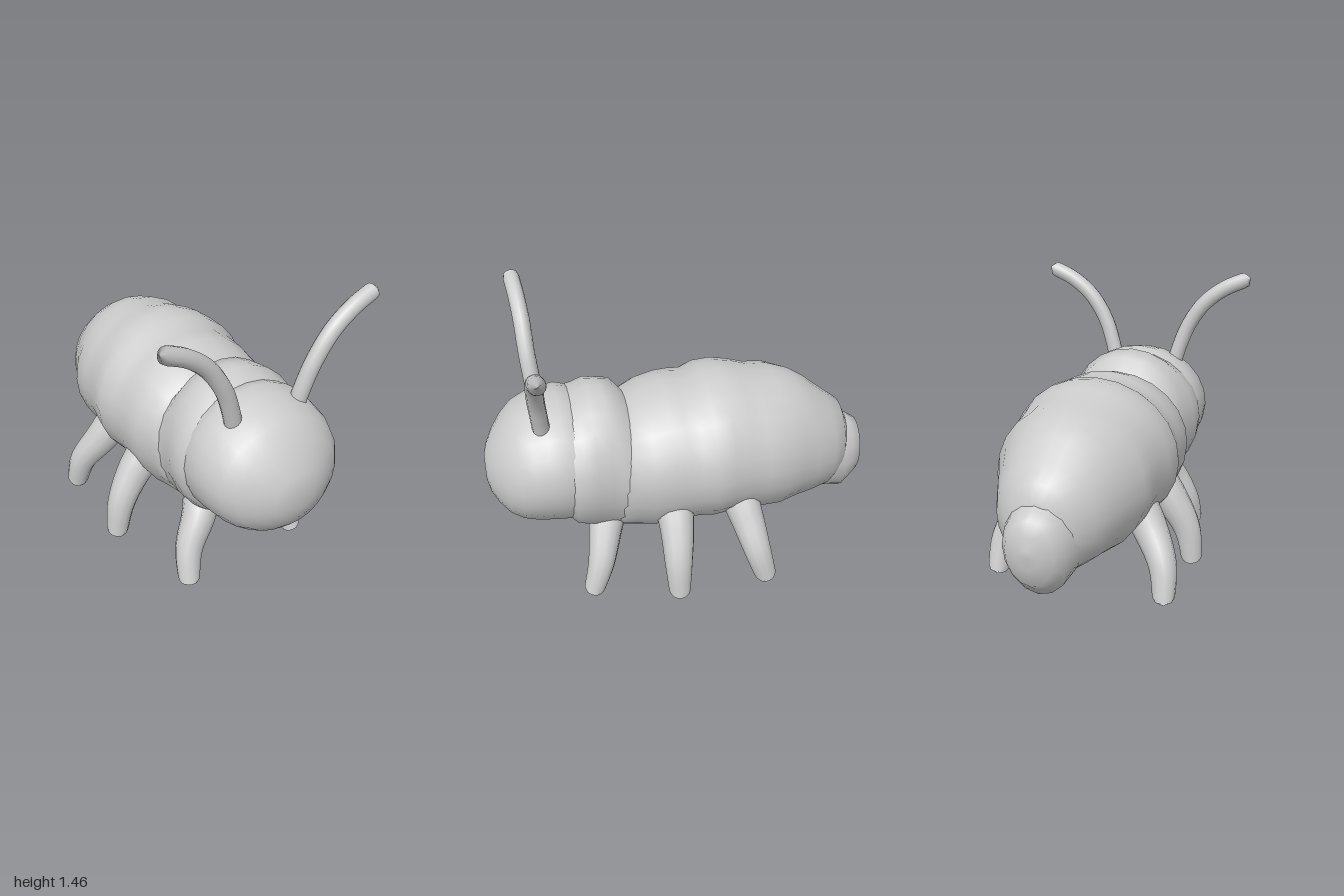
import * as THREE from 'three';

const grey = new THREE.MeshStandardMaterial({ color: 0xcccccc });
grey.name = 'plain grey';

function mesh(name, geometry) {
  const m = new THREE.Mesh(geometry, grey);
  m.name = name;
  return m;
}

// Closed loft along z; rings run front to back as [z, top, bottom, halfWidth, heightOfWidest]
function loft(rings, sides = 24) {
  const pos = [], index = [];
  for (const [z, top, bottom, w, mid = (top + bottom) / 2] of rings) {
    for (let i = 0; i < sides; i++) {
      const a = (i / sides) * Math.PI * 2, s = Math.sin(a);
      pos.push(w * Math.cos(a), mid + s * (s > 0 ? top - mid : mid - bottom), z);
    }
  }
  const first = pos.length / 3, last = first + 1, end = (rings.length - 1) * sides;
  for (const r of [rings[0], rings[rings.length - 1]]) pos.push(0, (r[1] + r[2]) / 2, r[0]);
  for (let i = 0; i < sides; i++) {
    const j = (i + 1) % sides;
    for (let k = 0; k < end; k += sides) {
      index.push(k + i, k + sides + i, k + j, k + j, k + sides + i, k + sides + j);
    }
    index.push(first, i, j, last, end + j, end + i);
  }
  const g = new THREE.BufferGeometry();
  g.setAttribute('position', new THREE.Float32BufferAttribute(pos, 3));
  g.setIndex(index);
  g.computeVertexNormals();
  return g;
}

// Tapered tube with a rounded tip
function limb(points, r0, r1) {
  const curve = new THREE.CatmullRomCurve3(points.map((p) => new THREE.Vector3(...p)));
  const segs = 30, sides = 12, round = r1 / curve.getLength();
  const g = new THREE.TubeGeometry(curve, segs, 1, sides);
  const p = g.attributes.position, v = new THREE.Vector3();
  for (let i = 0; i <= segs; i++) {
    const u = i / segs, c = curve.getPointAt(u);
    const t = Math.max(0, (u - 1 + round) / round);
    const r = THREE.MathUtils.lerp(r0, r1, u) * Math.sqrt(Math.max(0, 1 - t * t));
    for (let j = 0; j <= sides; j++) {
      const k = i * (sides + 1) + j;
      v.fromBufferAttribute(p, k).sub(c).multiplyScalar(r).add(c);
      p.setXYZ(k, v.x, v.y, v.z);
    }
  }
  return g;
}

export function createModel() {
  const model = new THREE.Group();
  model.name = 'insect';

  // Round head
  model.add(mesh('head', loft([
    [1.0, 0.73, 0.6, 0.07], [0.985, 0.78, 0.54, 0.13], [0.95, 0.85, 0.48, 0.2],
    [0.9, 0.92, 0.43, 0.275], [0.84, 0.98, 0.4, 0.325], [0.77, 1.015, 0.385, 0.352],
    [0.69, 1.035, 0.375, 0.362], [0.62, 1.05, 0.365, 0.362], [0.54, 1.03, 0.35, 0.35],
    [0.45, 0.95, 0.4, 0.3],
  ])));

  // Collar segment behind the head
  model.add(mesh('thorax', loft([
    [0.64, 1.0, 0.4, 0.33], [0.58, 1.03, 0.33, 0.365], [0.53, 1.04, 0.31, 0.37],
    [0.47, 1.07, 0.29, 0.365], [0.4, 1.065, 0.265, 0.345], [0.34, 1.055, 0.255, 0.34],
    [0.28, 0.975, 0.25, 0.34], [0.2, 0.92, 0.3, 0.3],
  ])));

  // Waist and long tapering abdomen
  model.add(mesh('abdomen', loft([
    [0.4, 0.9, 0.27, 0.31], [0.28, 0.975, 0.25, 0.36, 0.66], [0.2, 1.015, 0.25, 0.395, 0.66],
    [0.1, 1.045, 0.25, 0.4, 0.66], [0.03, 1.05, 0.265, 0.4, 0.66], [-0.04, 1.04, 0.28, 0.41, 0.67],
    [-0.11, 1.07, 0.285, 0.435, 0.67], [-0.2, 1.085, 0.285, 0.415, 0.67], [-0.29, 1.07, 0.28, 0.395, 0.67],
    [-0.38, 1.04, 0.275, 0.39, 0.66], [-0.48, 1.035, 0.275, 0.38, 0.65], [-0.59, 1.0, 0.29, 0.325, 0.63],
    [-0.67, 0.95, 0.3, 0.295, 0.61], [-0.78, 0.86, 0.32, 0.245], [-0.86, 0.8, 0.36, 0.17],
    [-0.9, 0.71, 0.42, 0.1],
  ])));

  // Blunt tail
  model.add(mesh('tail', loft([
    [-0.6, 0.75, 0.4, 0.2], [-0.78, 0.75, 0.29, 0.195], [-0.83, 0.74, 0.28, 0.185],
    [-0.88, 0.72, 0.265, 0.17], [-0.92, 0.7, 0.31, 0.155], [-0.97, 0.67, 0.35, 0.12],
    [-0.99, 0.6, 0.44, 0.06], [-1.0, 0.54, 0.5, 0.02],
  ], 16)));

  // Legs and antennae on both sides; the right front foot reaches further forward
  for (const [side, label, step] of [[1, 'left', 0], [-1, 'right', 1]]) {
    const add = (part, pts, r0, r1) =>
      model.add(mesh(label + part, limb(pts.map(([x, y, z]) => [side * x, y, z]), r0, r1)));
    const f = 0.08 * step, b = 0.03 * step;
    add('FrontLeg', [[0.15, 0.46, 0.4 + f / 2], [0.23, 0.34, 0.44 + f], [0.31, 0.19, 0.48 + f], [0.345, 0.01, 0.54 + f]], 0.1, 0.05);
    add('MiddleLeg', [[0.24, 0.52, 0.09], [0.35, 0.38, 0.09], [0.435, 0.22, 0.1], [0.47, 0.015, 0.1]], 0.105, 0.052);
    add('RearLeg', [[0.24, 0.52, -0.24], [0.34, 0.38, -0.28], [0.43, 0.22, -0.32 - b], [0.455, 0.03, -0.375 - b]], 0.105, 0.052);
    add('Antenna', [[0.17, 0.93, 0.71], [0.2, 1.04, 0.72], [0.245, 1.16, 0.73], [0.33, 1.29, 0.735],
      [0.44, 1.38, 0.735 + b / 3], [0.58, 1.445, 0.73 + b]], 0.042, 0.042);
  }
  return model;
}
